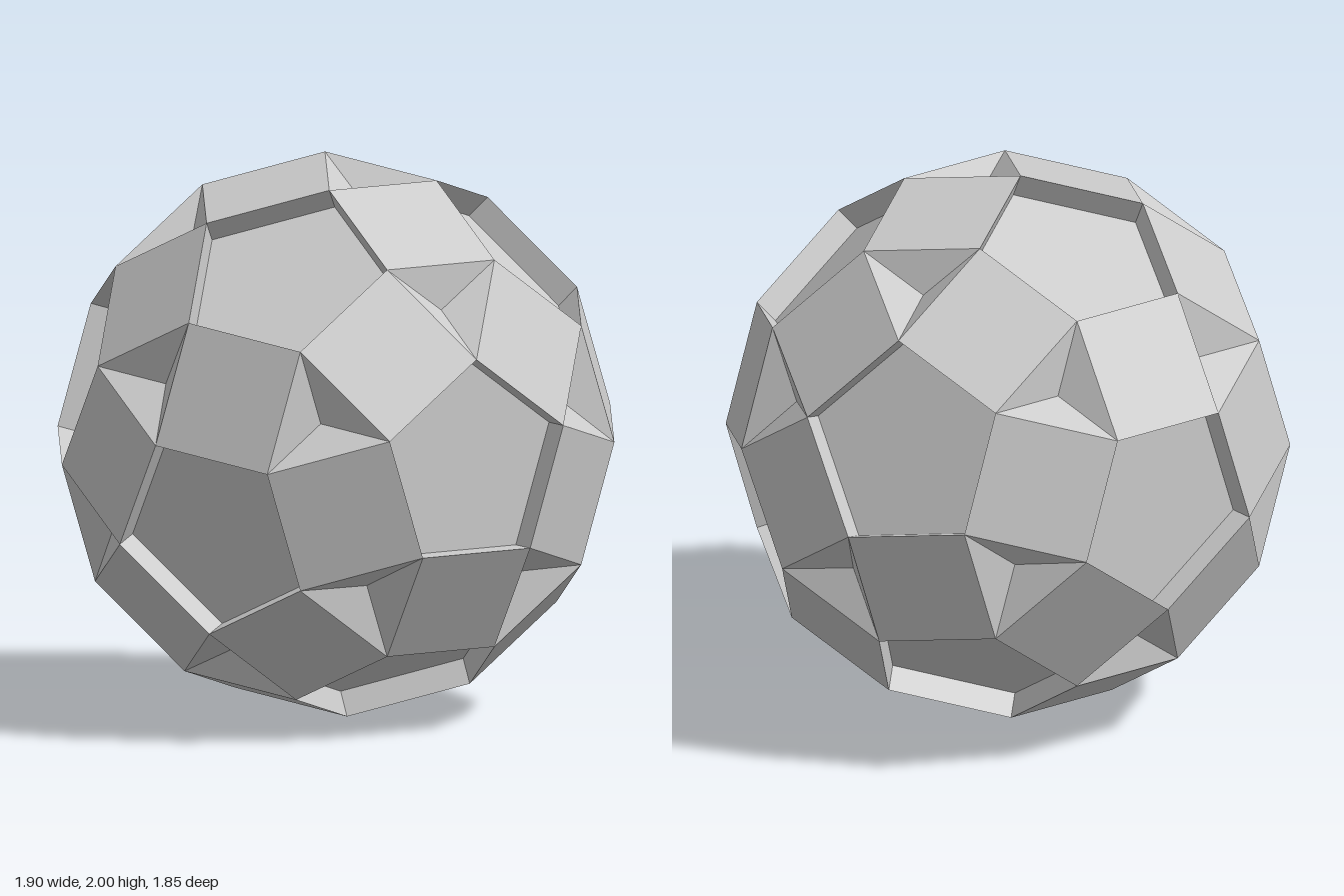
import * as THREE from 'three';

const RADIUS = 1.00266;                 // centre to every corner
const TILT = Math.asin(0.8507 / 2.233); // angle between a pentagon axis and its corners
const DEPTH = 0.095;                    // depth of the pentagon recesses and triangle dents

// The twelve pentagon axes: front, back and two rings of five
function pentagonAxes() {
  const axes = [new THREE.Vector3(0, 0, 1)];
  for (let k = 0; k < 5; k++) {
    const t = -Math.PI / 2 + (k * 2 * Math.PI) / 5;
    axes.push(new THREE.Vector3(2 * Math.cos(t), 2 * Math.sin(t), 1).normalize());
  }
  return axes.concat(axes.map((a) => a.clone().negate()));
}

const centroid = (pts) =>
  pts.reduce((s, p) => s.add(p), new THREE.Vector3()).divideScalar(pts.length);

// Sort the corners of a face anticlockwise as seen from outside
function ordered(pts) {
  const c = centroid(pts);
  const n = c.clone().normalize();
  const u = pts[0].clone().sub(c).normalize();
  const v = n.clone().cross(u);
  const angle = (p) => {
    const d = p.clone().sub(c);
    return Math.atan2(d.dot(v), d.dot(u));
  };
  return [...pts].sort((a, b) => angle(a) - angle(b));
}

// Flat-shaded mesh from convex polygons
function facetMesh(name, polygons) {
  const pts = [];
  for (const p of polygons)
    for (let i = 1; i < p.length - 1; i++) pts.push(p[0], p[i], p[i + 1]);
  const geometry = new THREE.BufferGeometry().setFromPoints(pts);
  geometry.computeVertexNormals();
  const material = new THREE.MeshStandardMaterial({ color: 0xcccccc, flatShading: true });
  const mesh = new THREE.Mesh(geometry, material);
  mesh.name = name;
  return mesh;
}

export function createModel() {
  const axes = pentagonAxes();
  const near = (i, j) => axes[i].dot(axes[j]) > 0.4;

  // Neighbouring axes in pairs (squares) and threes (triangles)
  const pairs = [], triples = [];
  for (let a = 0; a < 12; a++)
    for (let b = a + 1; b < 12; b++) {
      if (!near(a, b)) continue;
      pairs.push([a, b]);
      for (let c = b + 1; c < 12; c++)
        if (near(a, c) && near(b, c)) triples.push([a, b, c]);
    }

  // Sixty corners: each belongs to one pentagon and one triangle
  const corners = [];
  for (const triple of triples)
    for (const owner of triple) {
      const axis = axes[owner];
      const side = centroid(triple.map((i) => axes[i])).projectOnPlane(axis).normalize();
      const point = axis.clone().multiplyScalar(RADIUS * Math.cos(TILT))
        .addScaledVector(side, RADIUS * Math.sin(TILT));
      corners.push({ point, owner, triple });
    }
  const face = (test) => ordered(corners.filter(test).map((c) => c.point));

  const ball = new THREE.Group();
  ball.name = 'facetedBall';
  ball.position.y = 1;

  // Flat square panels
  ball.add(facetMesh('squarePanels', pairs.map(([a, b]) =>
    face((c) => (c.owner === a || c.owner === b) && c.triple.includes(a) && c.triple.includes(b)))));

  // Pentagons sunk straight inwards, with walls
  const floors = [], walls = [];
  axes.forEach((axis, a) => {
    const rim = face((c) => c.owner === a);
    const floor = rim.map((p) => p.clone().addScaledVector(axis, -DEPTH));
    floors.push(floor);
    rim.forEach((p, i) => {
      const j = (i + 1) % 5;
      walls.push([p, rim[j], floor[j], floor[i]]);
    });
  });
  ball.add(facetMesh('pentagonFloors', floors), facetMesh('pentagonWalls', walls));

  // Triangles dented into inverted pyramids
  const dents = [];
  for (const triple of triples) {
    const rim = face((c) => c.triple === triple);
    const tip = centroid(rim);
    tip.setLength(tip.length() - DEPTH);
    rim.forEach((p, i) => dents.push([p, rim[(i + 1) % 3], tip]));
  }
  ball.add(facetMesh('triangleDents', dents));

  const model = new THREE.Group();
  model.name = 'model';
  model.add(ball);
  return model;
}
